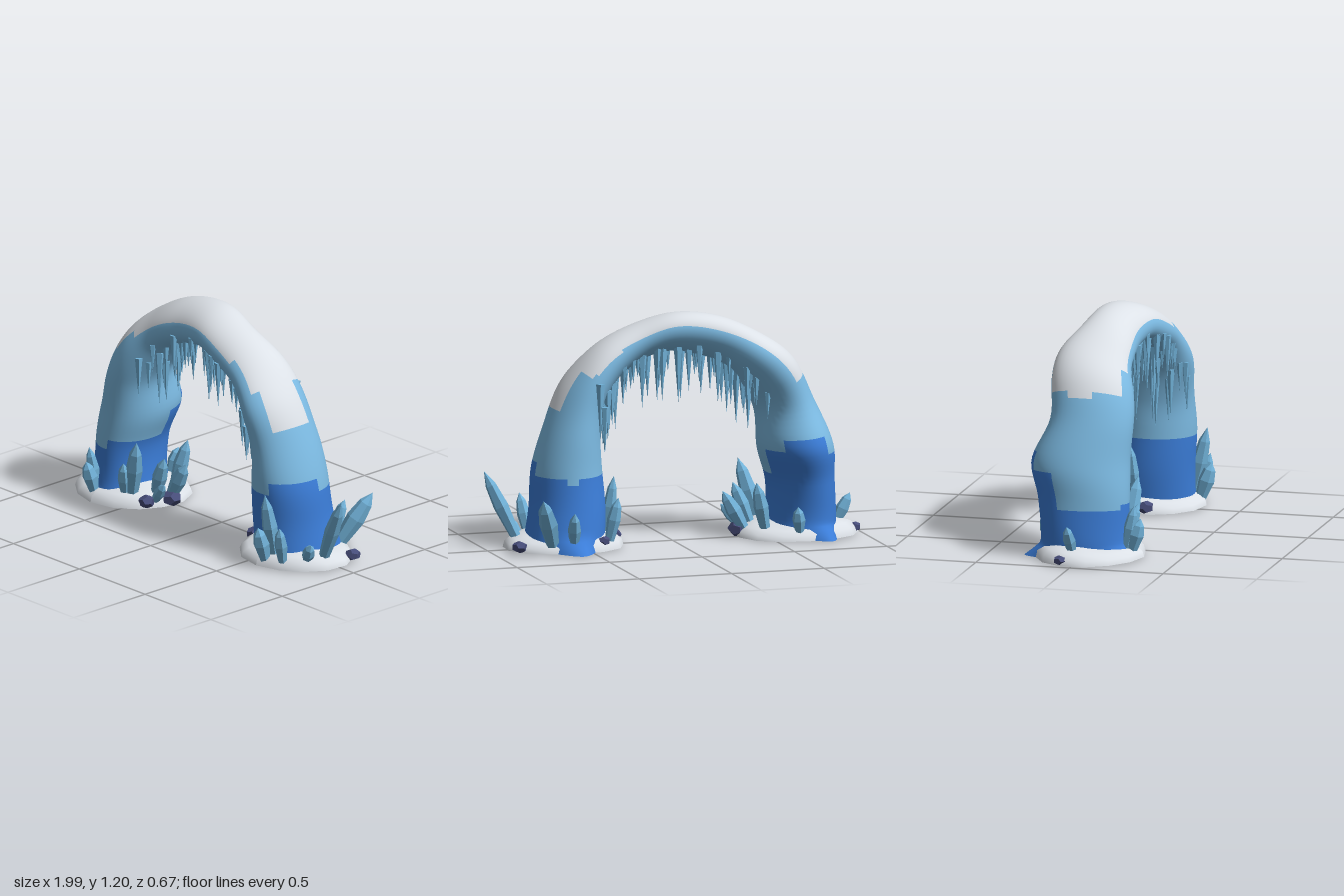
import * as THREE from 'three';

const mat = (name, color, side = THREE.FrontSide) => {
  const m = new THREE.MeshStandardMaterial({ color, side });
  m.name = name;
  return m;
};

// Arch stations: outer x, y, inner x, y, back z, front z
const STATIONS = [
  [-0.86, 0, -0.50, 0, -0.24, 0.25],
  [-0.86, 0.12, -0.52, 0.10, -0.22, 0.23],
  [-0.85, 0.30, -0.52, 0.28, -0.24, 0.22],
  [-0.83, 0.48, -0.47, 0.46, -0.285, 0.22],
  [-0.75, 0.71, -0.46, 0.65, -0.20, 0.22],
  [-0.63, 0.93, -0.40, 0.78, -0.22, 0.20],
  [-0.46, 1.07, -0.31, 0.88, -0.205, 0.16],
  [-0.25, 1.16, -0.18, 0.95, -0.14, 0.15],
  [0, 1.19, 0, 0.98, -0.10, 0.18],
  [0.20, 1.13, 0.14, 0.94, -0.08, 0.20],
  [0.41, 1.02, 0.27, 0.87, -0.10, 0.23],
  [0.56, 0.86, 0.36, 0.74, -0.13, 0.255],
  [0.66, 0.65, 0.39, 0.58, -0.15, 0.25],
  [0.74, 0.42, 0.38, 0.42, -0.17, 0.25],
  [0.76, 0.20, 0.37, 0.20, -0.20, 0.24],
  [0.80, 0, 0.38, 0, -0.24, 0.24],
];
const track = (a, b, c) => new THREE.CatmullRomCurve3(
  STATIONS.map((s) => new THREE.Vector3(s[a], s[b], s[c])));
const outerCurve = track(0, 1, 4), innerCurve = track(2, 3, 5);

// Point on the arch skin: u runs foot to foot, angle 0 is the outer side, PI/2 the front
function archPoint(u, angle) {
  const o = outerCurve.getPoint(u), i = innerCurve.getPoint(u);
  const c = Math.cos(angle), s = Math.sin(angle);
  const bump = 1 + 0.03 * Math.sin(u * 42 + 2 * s) * Math.sin(u * Math.PI);
  const lean = 0.035 * (1 - THREE.MathUtils.smoothstep(u, 0.55, 0.8));
  const p = new THREE.Vector3(
    (o.x + i.x) / 2 + (o.x - i.x) / 2 * c * bump,
    Math.max(0, (o.y + i.y) / 2 + (o.y - i.y) / 2 * c * bump),
    (o.z + i.z) / 2 + (i.z - o.z) / 2 * s * bump - lean * c);
  // pointed toes where the feet meet the ground
  const low = Math.max(0, 1 - p.y / 0.07);
  const toe = (at) => Math.max(0, Math.cos(angle - at)) ** 12;
  if (p.x < 0) p.z += low * (0.06 * toe(1.2) - 0.08 * toe(-1.0));
  else p.z -= low * 0.09 * toe(-1.6);
  return p;
}

// Colour zone of a patch: 0 deep ice, 1 pale ice, 2 snow
function zoneOf(p, angle) {
  const c = Math.cos(angle), s = Math.sin(angle);
  let deep;
  if (p.x < 0) deep = s < -0.8 ? 0.53 : s < -0.3 ? 0.45 : c < -0.3 ? 0.33 : 0.27;
  else deep = s < -0.2 && c > 0 ? 0.36 : c > 0.3 ? 0.43 : 0.39;
  if (p.y < deep) return 0;
  if (p.x < 0) return p.y > 0.84 && c > (s < 0 ? 0.5 : p.x < -0.5 ? 0.45 : 0.12) ? 2 : 1;
  if (p.y < 0.72) return 1;
  if (p.y < 0.9) return c > 0.45 && s > -0.5 && s < 0.76 ? 2 : 1;
  if (p.x > 0.3) return c > (s < 0 ? 0.35 : 0.5) ? 2 : 1;
  return c > (s < 0 ? 0.5 : 0.15) ? 2 : 1;
}

function archGeometry(rows, cols) {
  const pos = [], zones = [[], [], []];
  for (let i = 0; i <= rows; i++)
    for (let j = 0; j < cols; j++)
      pos.push(...archPoint(i / rows, j / cols * Math.PI * 2).toArray());
  for (let i = 0; i < rows; i++)
    for (let j = 0; j < cols; j++) {
      const a = i * cols + j, b = i * cols + (j + 1) % cols, c = a + cols, d = b + cols;
      const angle = (j + 0.5) / cols * Math.PI * 2;
      zones[zoneOf(archPoint((i + 0.5) / rows, angle), angle)].push(a, b, c, b, d, c);
    }
  const g = new THREE.BufferGeometry();
  g.setAttribute('position', new THREE.Float32BufferAttribute(pos, 3));
  g.setIndex(zones.flat());
  let start = 0;
  zones.forEach((z, k) => { g.addGroup(start, z.length, k); start += z.length; });
  g.computeVertexNormals();
  return g;
}

const faceted = (g) => {
  const f = g.index ? g.toNonIndexed() : g;
  f.computeVertexNormals();
  return f;
};

export function createModel() {
  const group = new THREE.Group();
  group.name = 'iceArch';
  const deepIce = mat('deepIce', 0x3b7dd8, THREE.DoubleSide);
  const paleIce = mat('paleIce', 0x7cbae2, THREE.DoubleSide);
  const snow = mat('snow', 0xdce1e7, THREE.DoubleSide);
  const crystalIce = mat('crystalIce', 0x72b3da);
  const stone = mat('stone', 0x474d7a);
  let seed = 7;
  const rand = () => (seed = (seed * 16807) % 2147483647) / 2147483647;
  const add = (name, geo, material) => {
    const m = new THREE.Mesh(geo, material);
    m.name = name;
    group.add(m);
    return m;
  };

  add('arch', archGeometry(100, 40), [deepIce, paleIce, snow]);

  // Snow mounds around the feet: centre x, z, radii x, z
  const moundProfile = [[1, 0], [0.97, 0.03], [0.86, 0.055], [0.7, 0.068], [0.4, 0.09], [0, 0.12]]
    .map((p) => new THREE.Vector2(...p));
  for (const [x, z, rx, rz] of [[-0.665, 0.015, 0.325, 0.285], [0.585, 0.02, 0.315, 0.275]]) {
    const g = new THREE.LatheGeometry(moundProfile, 14);
    const p = g.attributes.position;
    for (let i = 0; i < p.count; i++) {
      const a = Math.atan2(p.getZ(i), p.getX(i));
      const k = 1 + 0.03 * Math.sin(3 * a + x * 4);
      p.setXYZ(i, p.getX(i) * k * rx, p.getY(i) * (1 + 0.15 * Math.sin(2 * a)), p.getZ(i) * k * rz);
    }
    g.computeVertexNormals();
    add('snowMound', g, snow).position.set(x, 0, z);
  }

  // Crystals: base x, y, z, tip x, y, z, radius
  const crystalGeo = faceted(new THREE.LatheGeometry(
    [[0, 0], [0.65, 0], [1, 0.5], [0.72, 0.8], [0, 1]].map((p) => new THREE.Vector2(...p)), 6));
  const crystals = [
    [0.82, 0.03, 0.05, 0.995, 0.40, 0.08, 0.04],
    [0.78, 0.03, 0.13, 0.86, 0.15, 0.17, 0.034],
    [0.63, 0.03, 0.21, 0.64, 0.40, 0.29, 0.042],
    [0.61, 0.03, 0.26, 0.62, 0.22, 0.32, 0.044],
    [0.71, 0.03, 0.23, 0.74, 0.24, 0.28, 0.035],
    [0.70, 0.03, -0.17, 0.80, 0.30, -0.32, 0.05],
    [0.60, 0.03, -0.21, 0.62, 0.22, -0.29, 0.035],
    [0.39, 0.04, -0.15, 0.35, 0.27, -0.18, 0.036],
    [0.37, 0.04, -0.02, 0.33, 0.36, -0.04, 0.034],
    [-0.87, 0.04, -0.02, -0.95, 0.20, -0.03, 0.034],
    [-0.71, 0.04, 0.22, -0.715, 0.28, 0.27, 0.034],
    [-0.70, 0.04, 0.25, -0.705, 0.21, 0.30, 0.042],
    [-0.51, 0.04, 0.16, -0.42, 0.37, 0.21, 0.045],
    [-0.54, 0.04, 0.18, -0.50, 0.24, 0.23, 0.035],
    [-0.44, 0.04, 0.06, -0.35, 0.27, 0.08, 0.04],
    [-0.39, 0.03, 0.0, -0.27, 0.24, 0.0, 0.042],
    [-0.40, 0.03, 0.10, -0.30, 0.15, 0.13, 0.03],
    [-0.47, 0.04, -0.10, -0.41, 0.30, -0.14, 0.04],
    [-0.62, 0.04, -0.21, -0.60, 0.18, -0.25, 0.035],
  ];
  const up = new THREE.Vector3(0, 1, 0);
  for (const [bx, by, bz, tx, ty, tz, r] of crystals) {
    const dir = new THREE.Vector3(tx - bx, ty - by, tz - bz), len = dir.length();
    const m = add('crystal', crystalGeo, crystalIce);
    m.position.set(bx, by, bz);
    m.scale.set(r, len, r);
    m.quaternion.setFromUnitVectors(up, dir.normalize());
  }

  // Icicles hanging from the underside and from the edges of the legs
  const icicleGeo = faceted(new THREE.ConeGeometry(1, 1, 5).rotateX(Math.PI).translate(0, -0.5, 0));
  const addIcicle = (x, y, z, len) => {
    const m = add('icicle', icicleGeo, crystalIce), r = 0.012 + 0.04 * len;
    m.position.set(x, y, z);
    m.scale.set(r, len, r);
    m.rotation.y = rand() * 6;
  };
  const count = 76;
  for (let i = 0; i < count; i++) {
    const u = (4.6 + 6.8 * (i + rand() * 0.8) / count) / (STATIONS.length - 1);
    const p = archPoint(u, Math.PI + (rand() - 0.5) * 2);
    addIcicle(p.x, p.y + 0.015, p.z, 0.1 + 0.2 * rand() ** 1.3);
  }
  for (const [x, y, z, len] of [
    [0.44, 0.71, 0.235, 0.19], [0.41, 0.79, 0.235, 0.2],
    [0.43, 0.86, -0.125, 0.3], [0.41, 0.74, -0.14, 0.24],
  ]) addIcicle(x, y, z, len);

  // Loose stones on the mounds: x, y, z, radius
  const stoneGeo = faceted(new THREE.DodecahedronGeometry(1));
  for (const [x, y, z, r] of [
    [-0.965, 0.025, -0.06, 0.036], [-0.36, 0.035, 0.02, 0.055], [-0.41, 0.035, 0.15, 0.045],
    [0.305, 0.035, 0.05, 0.046], [0.43, 0.05, -0.19, 0.034], [0.865, 0.03, -0.12, 0.042],
  ]) {
    const m = add('stone', stoneGeo, stone);
    m.position.set(x, y, z);
    m.scale.set(r, r * 0.75, r);
    m.rotation.y = x * 9;
  }
  return group;
}
